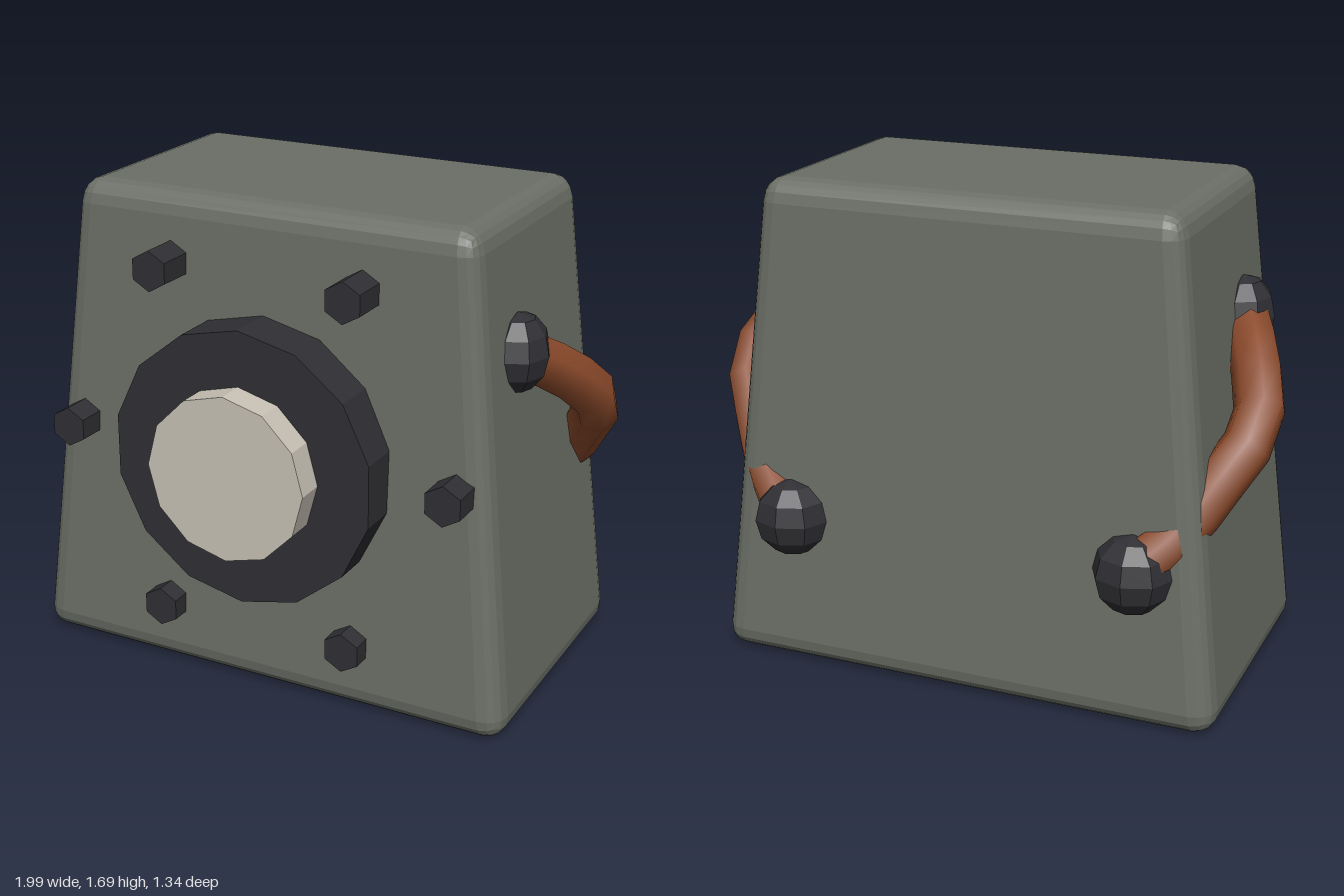
import * as THREE from 'three';
import { RoundedBoxGeometry } from 'three/addons/geometries/RoundedBoxGeometry.js';

const paint = (color, flatShading = true) => new THREE.MeshStandardMaterial({ color, flatShading });

export function createModel() {
  const model = new THREE.Group();
  const shell = paint(0x6b6f66);
  const dark = paint(0x302f34);
  const cream = paint(0xc8c2b5);
  const copper = paint(0x8b4a2b, false);

  const add = (name, geometry, material, x = 0, y = 0, z = 0) => {
    const mesh = new THREE.Mesh(geometry, material);
    mesh.name = name;
    mesh.position.set(x, y, z);
    model.add(mesh);
    return mesh;
  };

  // Housing: rounded box narrowing towards the top
  const height = 1.69;
  const body = new RoundedBoxGeometry(1.814, height, 1.058, 2, 0.08);
  const p = body.attributes.position;
  for (let i = 0; i < p.count; i++) {
    const t = p.getY(i) / height + 0.5;
    p.setX(i, p.getX(i) * (1 - 0.204 * t));
    p.setZ(i, p.getZ(i) * (1 - 0.176 * t));
  }
  body.computeVertexNormals();
  add('housing', body, shell, 0, height / 2 + 0.005, -0.053);

  // Prism along z with a corner pointing up, ending at the given front
  const prism = (name, radius, sides, back, front, material, x, y) => {
    const geometry = new THREE.CylinderGeometry(radius, radius, front - back, sides);
    geometry.rotateY(Math.PI).rotateX(Math.PI / 2);
    add(name, geometry, material, x, y, (front + back) / 2);
  };

  // Round front fitting
  prism('frontRing', 0.48, 14, 0.33, 0.57, dark, 0, 0.85);
  prism('frontDisc', 0.287, 12, 0.5, 0.67, cream, 0, 0.853);

  // Six hexagonal bolts in a circle
  for (let i = 0; i < 6; i++) {
    const a = (i * Math.PI) / 3;
    prism('bolt', 0.07, 6, 0.38, 0.53, dark, 0.703 * Math.cos(a), 0.854 + 0.703 * Math.sin(a));
  }

  // Cables running from the side plugs through the housing to the rear plugs
  for (const side of [1, -1]) {
    const path = [
      [0.77, 1.24, 0.1], [0.865, 1.13, -0.08], [0.92, 0.98, -0.25],
      [0.83, 0.81, -0.38], [0.74, 0.67, -0.47], [0.62, 0.56, -0.56],
    ].map(([x, y, z]) => new THREE.Vector3(side * x, y, z));
    add('cable', new THREE.TubeGeometry(new THREE.CatmullRomCurve3(path), 8, 0.085, 7), copper);

    const plug = new THREE.SphereGeometry(0.135, 8, 6);
    add('sidePlug', plug, dark, side * 0.765, 1.24, 0.105).scale.set(0.8, 1, 0.95);
    add('rearPlug', plug, dark, side * 0.615, 0.54, -0.55).scale.set(1, 1, 0.87);
  }

  // Small cable end showing beside the lower bolt
  add('cableEnd', new THREE.OctahedronGeometry(0.035), copper, 0.285, 0.205, 0.455);

  return model;
}
